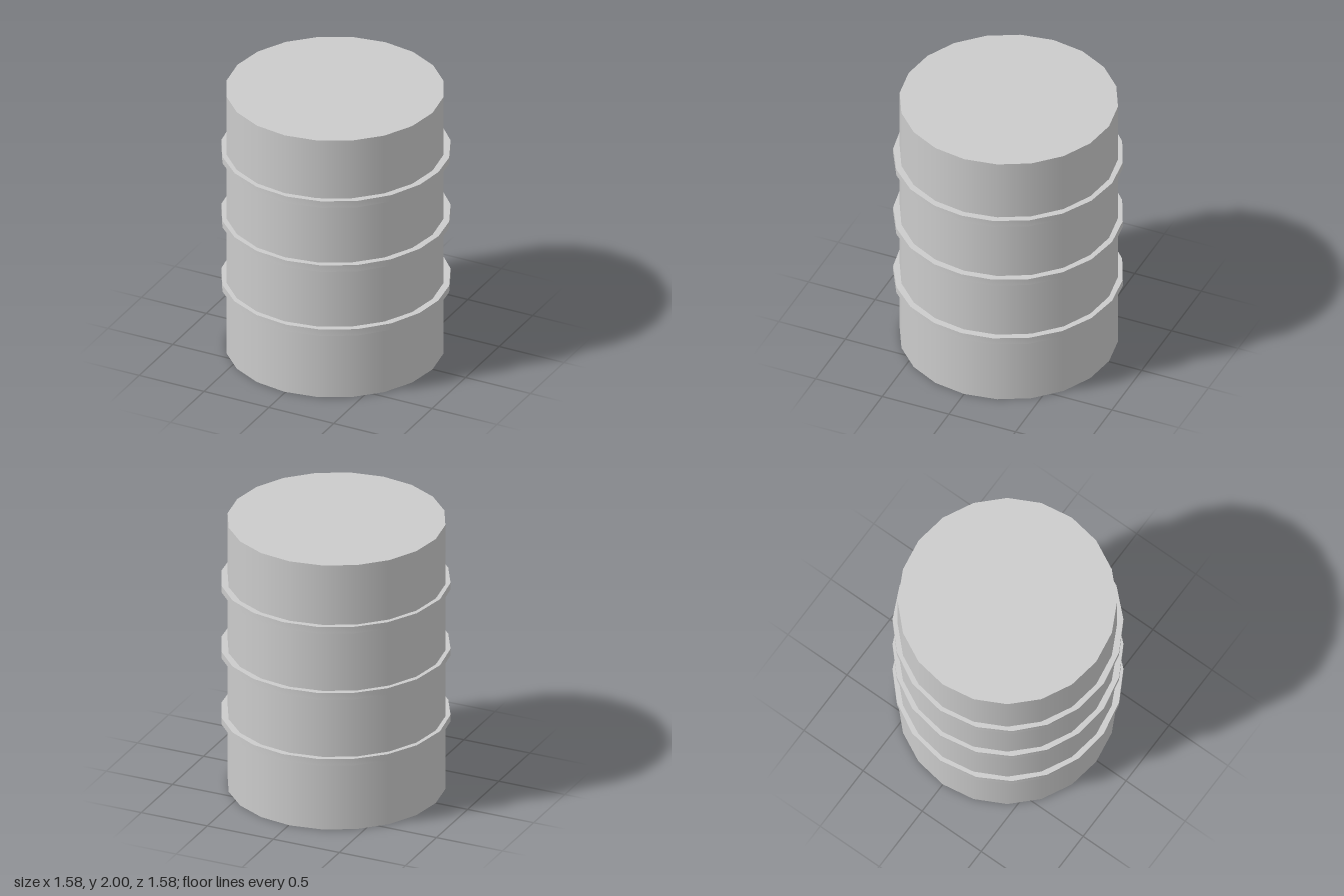
import * as THREE from 'three';
import { toCreasedNormals } from 'three/addons/utils/BufferGeometryUtils.js';

const CENTRE_X = -0.007;
const polar = (deg, r, cx = 0) => {
  const a = THREE.MathUtils.degToRad(deg);
  return new THREE.Vector2(cx + r * Math.cos(a), r * Math.sin(a));
};

// Flat hoop: the outline is one half mirrored across z = 0, with the drum cut out
function hoopGeometry(height) {
  const half = [0];
  for (let deg = 16; deg <= 160; deg += 18) half.push(deg);
  half.push(180);
  const angles = [...half, ...half.slice(1, -1).reverse().map((d) => -d)];
  const shape = new THREE.Shape(angles.map((d) => polar(d, 0.791)));
  const inner = Array.from({ length: 20 }, (_, i) => polar(-18 * i, 0.745, CENTRE_X));
  shape.holes.push(new THREE.Path(inner));
  const geometry = new THREE.ExtrudeGeometry(shape, { depth: height, bevelEnabled: false });
  geometry.rotateX(-Math.PI / 2);
  return toCreasedNormals(geometry, Math.PI / 6);
}

export function createModel() {
  const model = new THREE.Group();
  model.name = 'barrel';
  const material = new THREE.MeshStandardMaterial({ color: 0xcccccc });

  // Closed drum with smooth sides
  const drum = new THREE.Mesh(new THREE.CylinderGeometry(0.752, 0.752, 2, 20), material);
  drum.name = 'drum';
  drum.position.set(CENTRE_X, 1, 0);
  model.add(drum);

  // Three evenly spaced hoops
  const hoop = hoopGeometry(0.05);
  ['lowerHoop', 'middleHoop', 'upperHoop'].forEach((name, i) => {
    const mesh = new THREE.Mesh(hoop, material);
    mesh.name = name;
    mesh.position.y = 0.5 * (i + 1);
    model.add(mesh);
  });

  return model;
}
